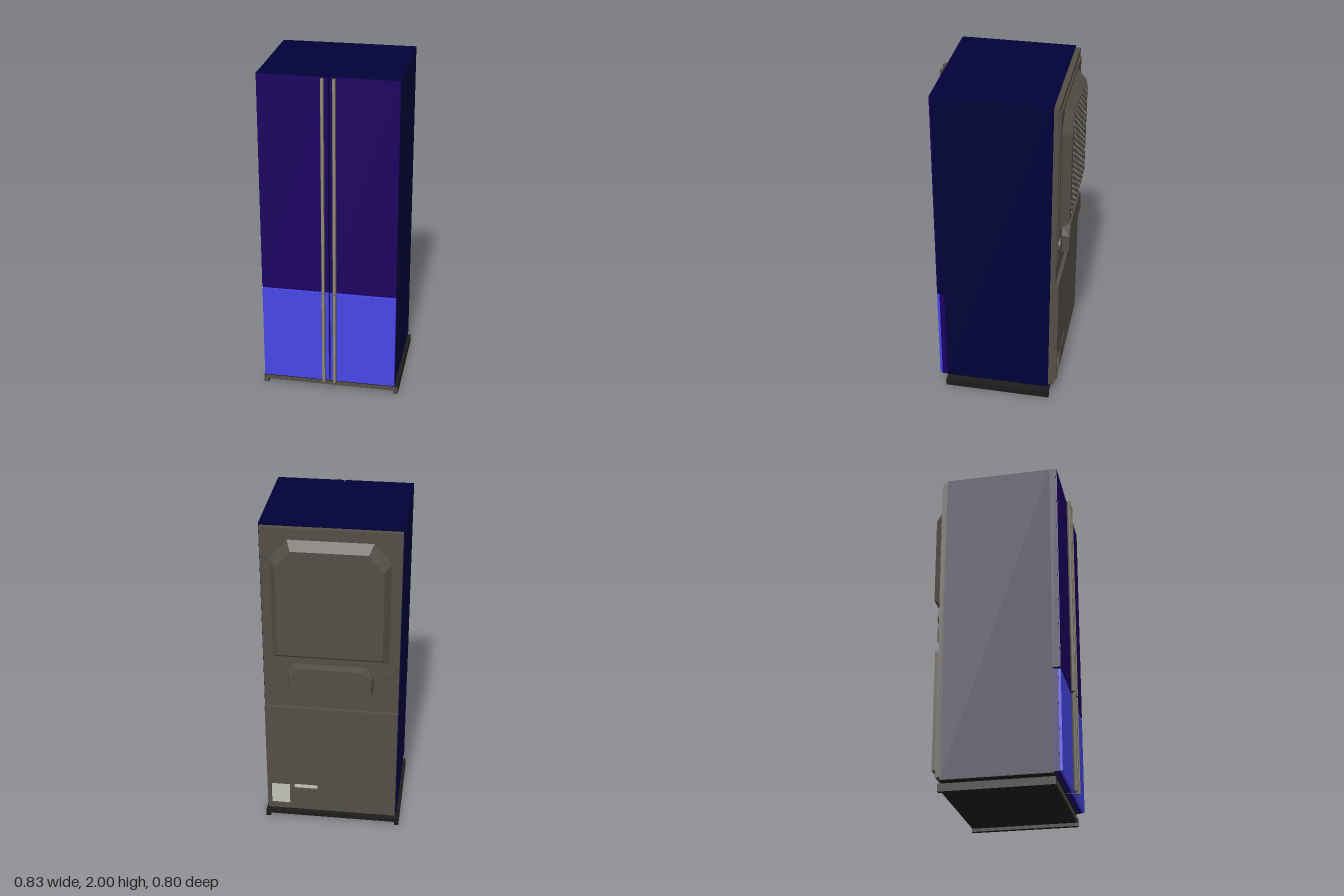
import * as THREE from 'three';
import { mergeGeometries } from 'three/addons/utils/BufferGeometryUtils.js';
import { ConvexGeometry } from 'three/addons/geometries/ConvexGeometry.js';

function material(name, color) {
  const m = new THREE.MeshStandardMaterial({ color });
  m.name = name;
  return m;
}

export function createModel() {
  const navy = material('navy', 0x010138);
  const violet = material('violet', 0x1b0060);
  const blue = material('blue', 0x4646e8);
  const grey = material('warm grey', 0x534e46);
  const khaki = material('khaki', 0x928b74);
  const black = material('black', 0x1c1c1a);
  const pale = material('pale grey', 0xc4c2b4);

  const group = new THREE.Group();
  const add = (name, geometry, mat) => {
    const mesh = new THREE.Mesh(geometry, mat);
    mesh.name = name;
    group.add(mesh);
    return mesh;
  };
  // Box given by its limits on each axis
  const box = (name, mat, x0, x1, y0, y1, z0, z1) =>
    add(name, new THREE.BoxGeometry(x1 - x0, y1 - y0, z1 - z0)
      .translate((x0 + x1) / 2, (y0 + y1) / 2, (z0 + z1) / 2), mat);

  // Cabinet with a black underside
  box('cabinet', navy, -0.4, 0.4, 0.075, 2, -0.31, 0.325);
  box('cabinetBottom', black, -0.4, 0.4, 0.07, 0.075, -0.31, 0.325);
  box('cabinetRearSill', black, -0.4, 0.4, 0.07, 0.09, -0.312, -0.31);

  // Doors and handles, two above and two below
  for (const [side, x0, x1, hx] of [['right', -0.403, 0, -0.03], ['left', 0.006, 0.4, 0.037]]) {
    box(side + 'UpperDoor', navy, x0, x1, 0.685, 1.998, 0.325, 0.364);
    box(side + 'UpperDoorFront', violet, x0 + 0.002, x1 - 0.002, 0.687, 1.995, 0.364, 0.37);
    box(side + 'LowerDoor', violet, x0, x1, 0.077, 0.675, 0.325, 0.355);
    box(side + 'LowerDoorFront', blue, x0 + 0.002, x1 - 0.002, 0.079, 0.673, 0.355, 0.37);
    for (const [level, y0, y1] of [['Upper', 0.688, 1.992], ['Lower', 0.08, 0.674]]) {
      // Oval bar, its front arc in a lighter finish
      const arc = (start, length) =>
        new THREE.CylinderGeometry(1, 1, y1 - y0, 12, 1, false, start, length)
          .scale(0.011, 1, 0.015).translate(hx, (y0 + y1) / 2, 0.385);
      add(side + level + 'Handle', arc(0.8, Math.PI * 2 - 1.6), grey);
      add(side + level + 'HandleFront', arc(-0.8, 1.6), khaki);
    }
  }

  // Base: tray with side rails and a grey front strip
  box('plinth', black, -0.335, 0.33, 0.045, 0.07, -0.25, 0.27);
  box('plinthFront', grey, -0.335, 0.33, 0.046, 0.068, 0.27, 0.275);
  box('baseTray', black, -0.4, 0.4, 0.02, 0.045, -0.315, 0.325);
  box('baseFront', grey, -0.4, 0.4, 0.022, 0.045, 0.325, 0.33);
  for (const s of [-1, 1]) {
    const a = s * 0.388, b = s * 0.416;
    box('baseRail', black, Math.min(a, b), Math.max(a, b), 0, 0.045, -0.318, 0.327);
    box('baseRailFront', grey, Math.min(a, b), Math.max(a, b), 0, 0.045, 0.327, 0.332);
  }

  // Back panels
  box('backPanel', grey, -0.393, 0.393, 0.09, 1.99, -0.34, -0.31);
  box('upperBackPlate', grey, -0.375, 0.375, 0.97, 1.95, -0.348, -0.34);

  // Lower plate with two recesses that hold the label and the slot
  const rect = (Type, x0, x1, y0, y1) => new Type([[x0, y0], [x1, y0], [x1, y1], [x0, y1]]
    .map(([x, y]) => new THREE.Vector2(x, y)));
  const plate = rect(THREE.Shape, -0.393, 0.393, 0.13, 0.85);
  for (const [name, ...limits] of [['label', 0.255, 0.37, 0.138, 0.288], ['slot', 0.085, 0.228, 0.258, 0.294]]) {
    plate.holes.push(rect(THREE.Path, ...limits));
    box(name, pale, ...limits, -0.346, -0.34);
  }
  add('lowerBackPlate', new THREE.ExtrudeGeometry(plate, { depth: 0.02, bevelEnabled: false })
    .translate(0, 0, -0.36), grey);

  // Raised block with sloping sides and cut upper corners
  const outline = (w, cutW, y0, yCut, y1, z) =>
    [[-w, y0], [w, y0], [w, yCut], [cutW, y1], [-cutW, y1], [-w, yCut]]
      .map(([x, y]) => new THREE.Vector3(x, y, z));
  const raised = (name, base, face) =>
    add(name, new ConvexGeometry([...outline(...base), ...outline(...face)]), grey);
  raised('ventHousing', [0.338, 0.24, 1.19, 1.81, 1.93, -0.345], [0.3, 0.215, 1.23, 1.78, 1.88, -0.4]);
  raised('rearGrip', [0.25, 0.215, 0.985, 1.1, 1.15, -0.345], [0.238, 0.19, 0.992, 1.085, 1.14, -0.392]);

  // Rows of small round vent studs
  const studs = [];
  for (let row = 0; row < 18; row++) {
    const y = 1.255 + row * 0.0355;
    for (let col = 0; col < 10; col++) {
      const x = (col - 4.5) * 0.0535;
      if (y > 1.83 && Math.abs(x) > 0.22) continue;
      studs.push(new THREE.CylinderGeometry(0.0135, 0.0135, 0.006, 8)
        .rotateX(Math.PI / 2).translate(x, y, -0.4005));
    }
  }
  add('ventStuds', mergeGeometries(studs), grey);

  // Round caps beside the grip
  for (const s of [-1, 1]) {
    const cap = new THREE.CylinderGeometry(0.042, 0.042, 0.014, 20)
      .rotateX(Math.PI / 2).translate(s * 0.328, 1.09, -0.351);
    add('backCap', cap, grey);
  }

  return group;
}
